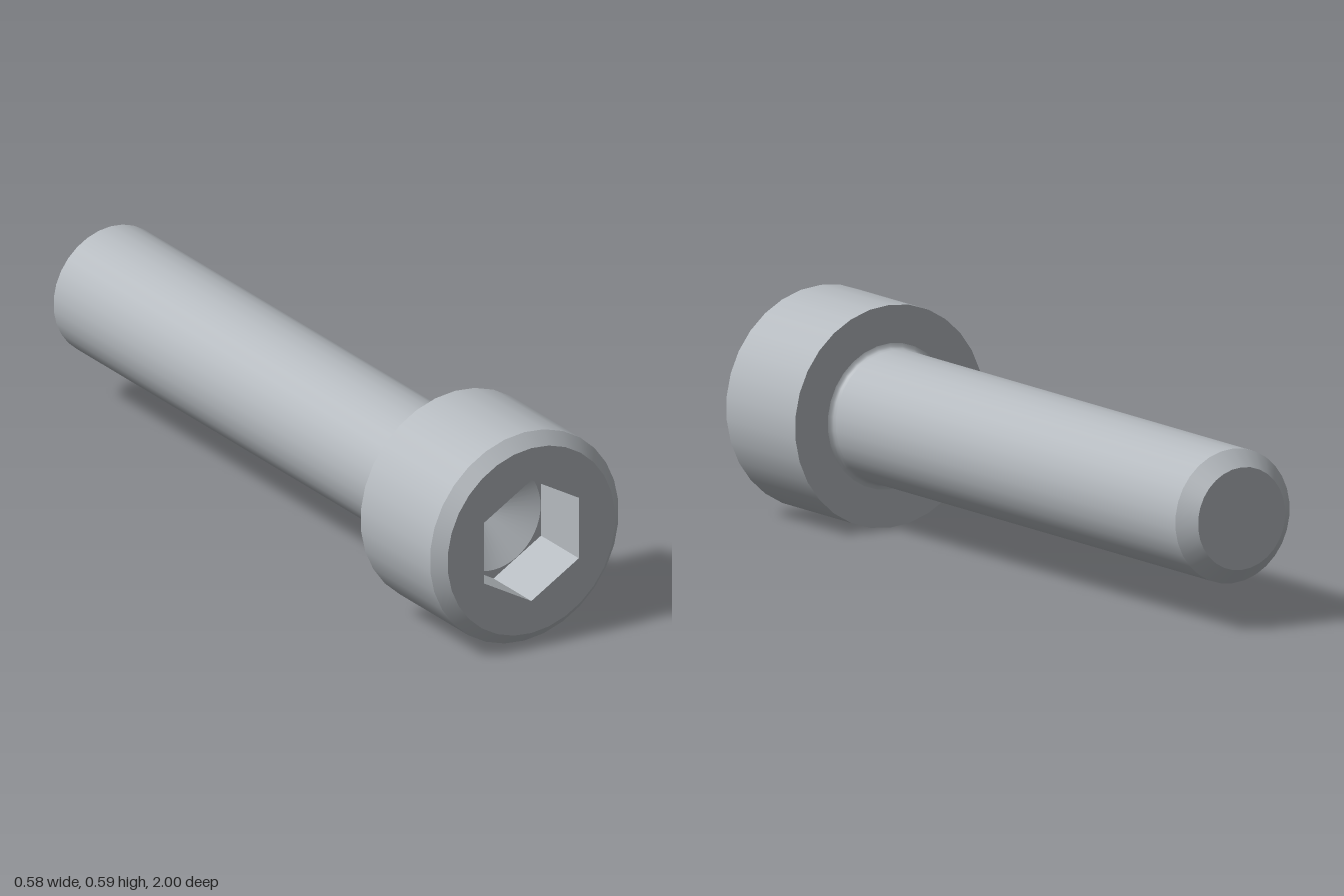
import * as THREE from 'three';
import { mergeGeometries } from 'three/addons/utils/BufferGeometryUtils.js';

const SEGMENTS = 30;
const HEAD_R = 0.293, FACE_R = 0.26, SHANK_R = 0.177, TIP_R = 0.135;
const HEX_R = 0.17, DRILL_R = 0.147;
const SEAT_Z = 0.645, FLOOR_Z = 0.824;

// Revolves one smooth strip of [radius, z] points around the z axis
function revolve(points, segments = SEGMENTS) {
  const profile = points.map(([r, z]) => new THREE.Vector2(r, z));
  return new THREE.LatheGeometry(profile, segments).rotateX(Math.PI / 2);
}

// Points of a regular polygon with one corner at the bottom
function ring(radius, count) {
  return Array.from({ length: count }, (_, i) => {
    const a = (i / count) * Math.PI * 2 - Math.PI / 2;
    return new THREE.Vector2(radius * Math.cos(a), radius * Math.sin(a));
  });
}

// Flat plate facing +z with a hole
function plate(outer, hole, z) {
  const shape = new THREE.Shape(outer);
  shape.holes.push(new THREE.Path(hole));
  return new THREE.ShapeGeometry(shape).translate(0, 0, z);
}

export function createModel() {
  const steel = new THREE.MeshStandardMaterial({ color: 0xb5babf });
  steel.name = 'steel grey';

  const bolt = new THREE.Group();
  bolt.name = 'socketHeadBolt';
  const add = (name, geometry) => {
    const mesh = new THREE.Mesh(geometry, steel);
    mesh.name = name;
    bolt.add(mesh);
  };

  // Shank with chamfered tip and a small fillet under the head
  add('shank', mergeGeometries([
    revolve([[0, -1], [TIP_R, -1]]),
    revolve([[TIP_R, -1], [SHANK_R, -0.957]]),
    revolve([[SHANK_R, -0.957], [SHANK_R, 0.63]]),
    revolve([[SHANK_R, 0.63], [0.179, 0.638], [0.184, 0.643], [0.192, SEAT_Z]]),
  ]));

  // Head: seat, side, chamfer and front face around the hexagon
  add('head', mergeGeometries([
    revolve([[0.192, SEAT_Z], [HEAD_R, SEAT_Z]]),
    revolve([[HEAD_R, SEAT_Z], [HEAD_R, 0.967]]),
    revolve([[HEAD_R, 0.967], [FACE_R, 1]]),
    plate(ring(FACE_R, SEGMENTS), ring(HEX_R, 6), 1),
  ]));

  // Hexagon socket: flat walls, corner floor and conical drill point
  const walls = revolve([[HEX_R, 1], [HEX_R, FLOOR_Z]], 6).toNonIndexed();
  walls.computeVertexNormals();
  add('socketWalls', walls);
  add('socketFloor', plate(ring(HEX_R, 6), ring(DRILL_R - 0.001, 48), FLOOR_Z));
  add('drillPoint', revolve([[DRILL_R - 0.001, FLOOR_Z], [0, FLOOR_Z - 0.085]], 48));

  bolt.position.y = HEAD_R;
  const model = new THREE.Group();
  model.name = 'bolt';
  model.add(bolt);
  return model;
}
